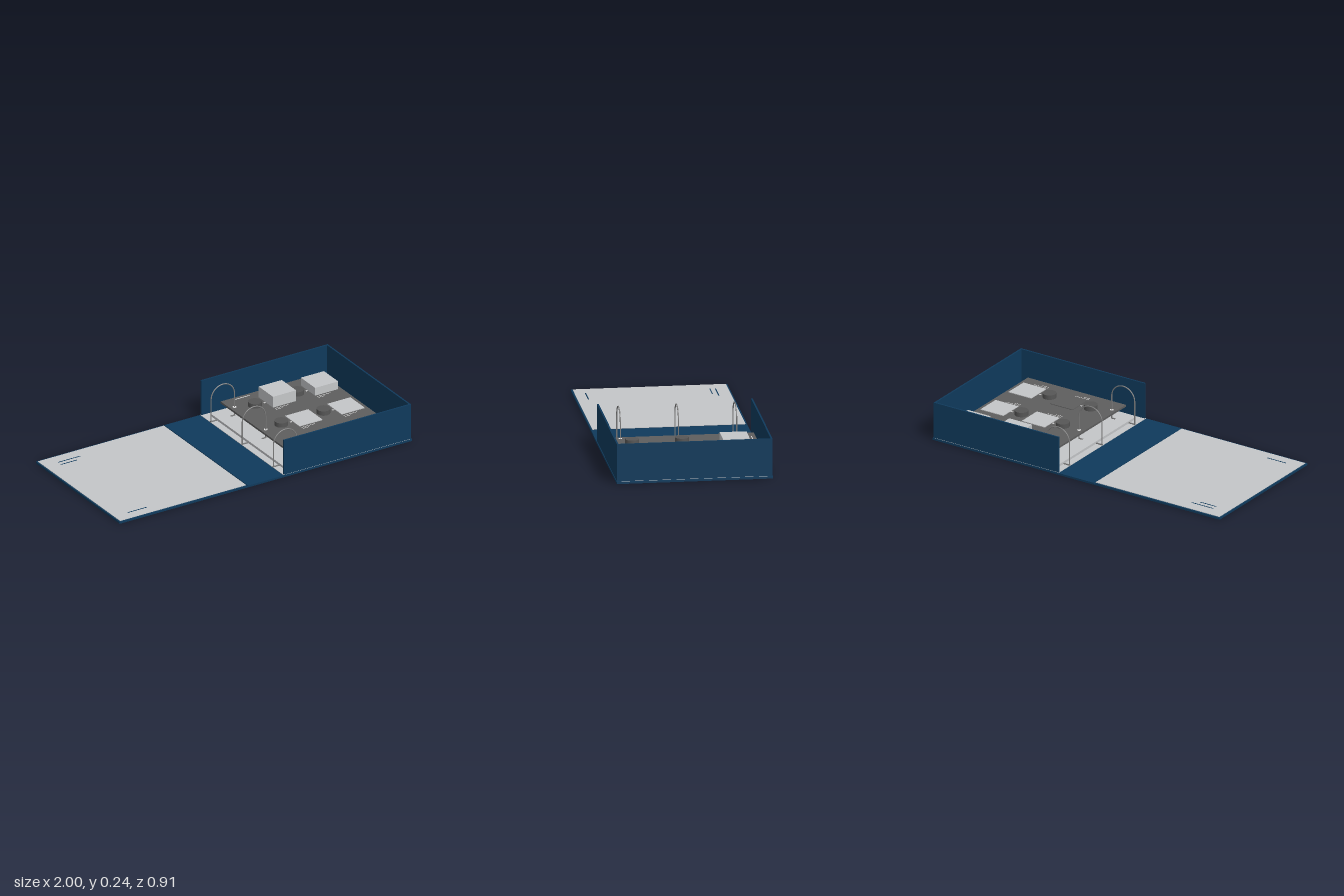
import * as THREE from 'three';

const mat = (name, color) => {
  const m = new THREE.MeshStandardMaterial({ color });
  m.name = name;
  return m;
};

export function createModel() {
  const model = new THREE.Group();
  model.name = 'binderBox';
  const navy = mat('navy cloth', 0x0f3a5c);
  const paper = mat('light grey paper', 0xc4c6c8);
  const board = mat('dark grey board', 0x5e5e5e);
  const knobGrey = mat('knob grey', 0x565656);
  const metal = mat('ring metal', 0x808080);
  const white = mat('white print', 0xf0f0f0);

  const add = (name, geometry, material, parent = model) => {
    const m = new THREE.Mesh(geometry, material);
    m.name = name;
    parent.add(m);
    return m;
  };
  // Box given by its limits on each axis
  const box = (name, material, x0, x1, y0, y1, z0, z1, parent) => {
    const m = add(name, new THREE.BoxGeometry(x1 - x0, y1 - y0, z1 - z0), material, parent);
    m.position.set((x0 + x1) / 2, (y0 + y1) / 2, (z0 + z1) / 2);
    return m;
  };

  // Folding cover: lid, spine and base, joined by thin hinges
  const W = 0.457;
  box('lidPanel', navy, -1, -0.13, 0, 0.012, -W, W);
  box('spinePanel', navy, -0.122, 0.12, 0, 0.012, -W, W);
  box('basePanel', navy, 0.128, 1, 0, 0.012, -W, W);
  for (const x of [-0.126, 0.124]) box('hinge', navy, x - 0.004, x + 0.004, 0, 0.008, -W, W);

  // Paper linings
  box('lidLining', paper, -0.992, -0.13, 0.012, 0.015, -0.448, 0.448);
  box('baseLining', paper, 0.122, 0.99, 0.012, 0.015, -0.453, 0.453);

  // Tray walls, open towards the spine
  const H = 0.238;
  for (const s of [-1, 1]) {
    const z = s * 0.45;
    box('sideWall', navy, 0.125, 0.994, 0.015, H, z - 0.005, z + 0.005);
  }
  box('endWall', navy, 0.984, 0.994, 0.015, H, -0.445, 0.445);

  // Ring mechanism
  box('ringPlate', paper, 0.165, 0.245, 0.015, 0.03, -0.4, 0.4);
  const ringPath = new THREE.CurvePath();
  const v = (x, y) => new THREE.Vector3(x, y, 0);
  const pts = [v(0.125, 0.02), v(0.125, 0.09), v(0.125, 0.16)];
  for (let i = 1; i < 16; i++) {
    const a = Math.PI * (1 - i / 16);
    pts.push(v(0.205 + 0.08 * Math.cos(a), 0.16 + 0.08 * Math.sin(a)));
  }
  pts.push(v(0.285, 0.16), v(0.285, 0.09), v(0.285, 0.02));
  for (let i = 1; i < pts.length; i++) ringPath.add(new THREE.LineCurve3(pts[i - 1], pts[i]));
  const ringGeometry = new THREE.TubeGeometry(new THREE.CatmullRomCurve3(pts), 64, 0.0035, 8);
  for (const z of [-0.34, 0, 0.34]) {
    add('ring', ringGeometry, metal).position.z = z;
    box('ringFoot', metal, 0.121, 0.289, 0.015, 0.021, z - 0.003, z + 0.003);
    // Punched hole mark on the board
    const eyelet = add('eyelet', new THREE.CylinderGeometry(0.011, 0.011, 0.002, 20), white);
    eyelet.position.set(0.285, 0.071, z);
  }

  // Sample board held by the rings
  const top = 0.07;
  box('sampleBoard', board, 0.255, 0.938, 0.058, top, -0.443, 0.443);
  box('titleStrip', white, 0.335, 0.44, top, top + 0.001, -0.422, -0.417);

  // Knobs, sample blocks and caption strips in a grid of three rows
  const knobGeometry = new THREE.CylinderGeometry(0.04, 0.04, 0.028, 32);
  const rows = [
    { z: -0.293, heights: [0.14, 0.12] },
    { z: -0.005, heights: [0.074, 0.074] },
    { z: 0.286, heights: [0.074, 0.074] },
  ];
  rows.forEach(({ z, heights }, r) => {
    heights.forEach((h, c) => {
      const x = 0.395 + c * 0.288;
      const cell = new THREE.Group();
      cell.name = 'sampleCell';
      model.add(cell);
      add('knob', knobGeometry, knobGrey, cell).position.set(x, top + 0.014, z);
      box('marker', white, x + 0.06, x + 0.072, top, top + 0.001, z - 0.005, z + 0.005, cell);
      const empty = r === 2 && c === 0;
      box(empty ? 'blankBlock' : 'sampleBlock', empty ? board : paper,
        x + 0.075, x + 0.233, 0.05, h, z - 0.078, z + 0.078, cell);
      box('captionStrip', white, x + 0.077, x + 0.17, top, top + 0.001, z + 0.092, z + 0.095, cell);
      box('captionStrip', white, x + 0.077, x + 0.12, top, top + 0.001, z + 0.107, z + 0.11, cell);
    });
  });

  // Plain printed strips on the lid lining
  for (const [x1, z] of [[-0.75, -0.374], [-0.79, -0.342], [-0.77, 0.385]])
    box('lidStrip', navy, -0.9, x1, 0.015, 0.016, z - 0.003, z + 0.003);

  return model;
}
